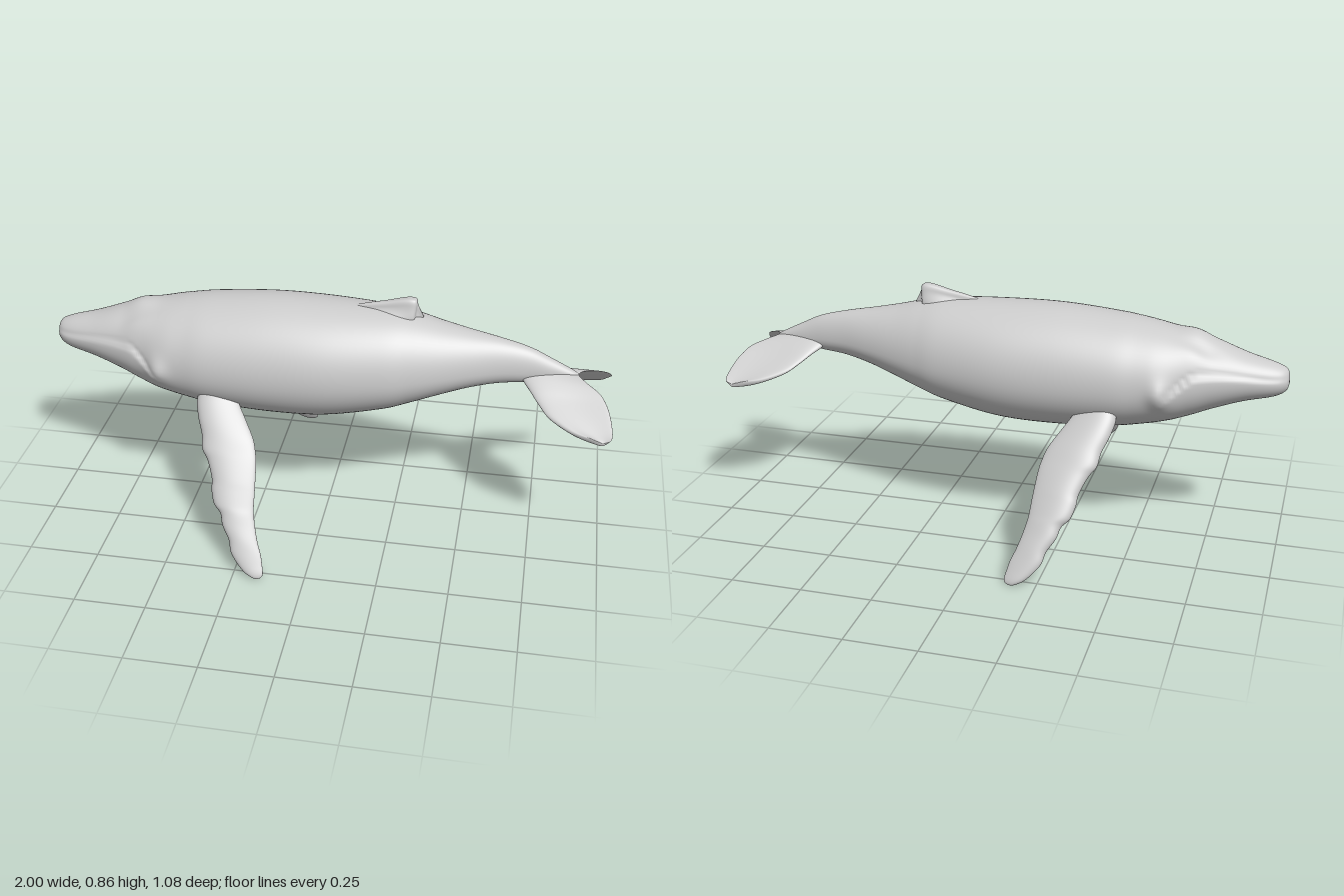
import * as THREE from 'three';

const SEG = 72;

// Catmull-Rom interpolation of rows of numbers, steps samples per span
function smooth(rows, steps) {
  const out = [], n = rows.length;
  for (let i = 0; i < n - 1; i++) {
    const a = rows[Math.max(i - 1, 0)], b = rows[i], c = rows[i + 1], d = rows[Math.min(i + 2, n - 1)];
    for (let k = 0; k < steps; k++) {
      const t = k / steps;
      out.push(b.map((_, j) => b[j] + 0.5 * t * (c[j] - a[j] + t * (2 * a[j] - 5 * b[j] + 4 * c[j] - d[j]
        + t * (3 * (b[j] - c[j]) + d[j] - a[j])))));
    }
  }
  out.push(rows[n - 1]);
  return out;
}

// Closed skin over a row of rings; pointAt(row, cos, sin) gives [x, y, z]
function loft(rows, pointAt) {
  const pos = [], idx = [];
  rows.forEach(r => {
    for (let k = 0; k < SEG; k++) {
      const a = k / SEG * Math.PI * 2;
      pos.push(...pointAt(r, Math.cos(a), Math.sin(a)));
    }
  });
  for (let i = 0; i < rows.length - 1; i++) {
    for (let k = 0; k < SEG; k++) {
      const a = i * SEG + k, b = i * SEG + (k + 1) % SEG;
      idx.push(a, b, a + SEG, b, b + SEG, a + SEG);
    }
  }
  // end caps
  [0, rows.length - 1].forEach((r, e) => {
    const c = [0, 0, 0], s = r * SEG, centre = pos.length / 3;
    for (let k = 0; k < SEG; k++) for (let j = 0; j < 3; j++) c[j] += pos[(s + k) * 3 + j] / SEG;
    pos.push(...c);
    for (let k = 0; k < SEG; k++) {
      const a = s + k, b = s + (k + 1) % SEG;
      idx.push(centre, e ? a : b, e ? b : a);
    }
  });
  // turn the faces outward if the signed volume is negative
  const p = i => new THREE.Vector3().fromArray(pos, i * 3);
  let vol = 0;
  for (let i = 0; i < idx.length; i += 3) vol += p(idx[i]).dot(p(idx[i + 1]).cross(p(idx[i + 2])));
  if (vol < 0) idx.reverse();
  const g = new THREE.BufferGeometry();
  g.setAttribute('position', new THREE.Float32BufferAttribute(pos, 3));
  g.setIndex(idx);
  g.computeVertexNormals();
  return g;
}

const step = THREE.MathUtils.smoothstep;

// Height of the mouth line along the head
function mouthY(x) {
  return 0.64 + 0.02 * step(x, -0.97, -0.75) - 0.1 * step(x, -0.71, -0.55);
}

function bodyPoint([x, top, bottom, w, mid], c, s) {
  const y = mid + (s > 0 ? s * (top - mid) : -Math.pow(-s, 0.95) * (mid - bottom));
  let z = w * c;
  // narrower upper jaw above the lip, with a crease along the mouth
  const head = 1 - step(x, -0.66, -0.54);
  const d = y - mouthY(x);
  z *= 1 - head * (0.07 * step(d, -0.008, 0.012) + 0.05 * Math.exp(-((d / 0.009) ** 2)));
  // hollows beside the blowhole ridge
  const hollow = 0.014 * Math.exp(-(((x + 0.7) / 0.07) ** 2) - ((Math.abs(z) - 0.07) / 0.03) ** 2);
  // swelling around the eye
  const eye = 0.022 * Math.exp(-(((x + 0.585) / 0.035) ** 2) - ((y - 0.59) / 0.045) ** 2);
  return [x, s > 0 ? y - hollow : y, z + Math.sign(c) * eye];
}

export function createModel() {
  const model = new THREE.Group();
  const skin = new THREE.MeshStandardMaterial({ color: 0xcccccc });
  skin.name = 'greySkin';
  const add = (name, geometry) => {
    const m = new THREE.Mesh(geometry, skin);
    m.name = name;
    model.add(m);
  };

  // Body: x, top, bottom, half width, height of the widest line
  add('body', loft(smooth([
    [-1, 0.64, 0.615, 0.012, 0.628], [-0.99, 0.667, 0.59, 0.04, 0.628], [-0.95, 0.685, 0.568, 0.066, 0.628],
    [-0.85, 0.712, 0.543, 0.098, 0.63], [-0.75, 0.75, 0.508, 0.13, 0.625],
    [-0.68, 0.78, 0.48, 0.155, 0.615], [-0.6, 0.785, 0.453, 0.183, 0.605], [-0.5, 0.802, 0.43, 0.2, 0.6],
    [-0.4, 0.815, 0.415, 0.215, 0.6], [-0.2, 0.83, 0.402, 0.224, 0.6], [0, 0.828, 0.408, 0.219, 0.605],
    [0.2, 0.818, 0.447, 0.188, 0.61], [0.3, 0.802, 0.48, 0.16, 0.615], [0.4, 0.778, 0.517, 0.128, 0.622],
    [0.5, 0.757, 0.55, 0.095, 0.63], [0.6, 0.738, 0.572, 0.065, 0.635], [0.7, 0.712, 0.582, 0.045, 0.632],
    [0.78, 0.675, 0.592, 0.032, 0.625], [0.85, 0.64, 0.607, 0.018, 0.622], [0.875, 0.626, 0.616, 0.006, 0.621],
  ], 10), bodyPoint));

  // Dorsal fin: x, top, half width at the base, half width at the crest
  add('dorsalFin', loft(smooth([
    [0.06, 0.815, 0.01, 0.004], [0.13, 0.833, 0.045, 0.012], [0.2, 0.848, 0.06, 0.018], [0.26, 0.863, 0.05, 0.024],
    [0.29, 0.866, 0.042, 0.025], [0.305, 0.86, 0.034, 0.02], [0.31, 0.84, 0.022, 0.008], [0.33, 0.8, 0.008, 0.003],
  ], 6), ([x, top, base, crest], c, s) => {
    const h = (s + 1) / 2;
    const lean = 0.012 * step(x, 0.29, 0.315) * (1 - h);
    const w = THREE.MathUtils.lerp(base, crest, step(h, 0, 0.8));
    return [x - lean, 0.77 + h * (top - 0.77), w * Math.sign(c) * Math.sqrt(Math.abs(c))];
  }));

  // Flippers: height, leading edge x, trailing edge x, half thickness
  const flipper = smooth([
    [0.56, -0.42, -0.32, 0.022], [0.5, -0.442, -0.295, 0.028], [0.45, -0.432, -0.26, 0.03],
    [0.4, -0.41, -0.225, 0.03], [0.36, -0.402, -0.21, 0.029], [0.33, -0.378, -0.204, 0.028],
    [0.28, -0.355, -0.2, 0.027], [0.25, -0.352, -0.198, 0.026], [0.21, -0.338, -0.196, 0.025],
    [0.185, -0.312, -0.192, 0.024], [0.15, -0.3, -0.183, 0.022], [0.11, -0.273, -0.17, 0.02],
    [0.075, -0.262, -0.155, 0.017], [0.045, -0.238, -0.147, 0.014], [0.02, -0.21, -0.142, 0.011],
    [0.008, -0.187, -0.148, 0.007], [0.003, -0.172, -0.16, 0.002],
  ], 5);
  for (const [name, side] of [['leftFlipper', 1], ['rightFlipper', -1]]) {
    add(name, loft(flipper, ([y, lead, trail, t], c, s) => {
      const x = (lead + trail) / 2 + c * (trail - lead) / 2;
      // full leading edge, thin trailing edge
      const n = t * s * (1 - 0.35 * c);
      const z = 0.538 - 0.72 * y + 0.02 * Math.sin(Math.PI * Math.min(y / 0.5, 1));
      return [x, Math.max(y + n * 0.58, 0), side * (z + n * 0.81)];
    }));
  }

  // Tail flukes: z, leading x, trailing x, leading y, trailing y, half thickness
  const half = [
    [0, 0.67, 0.875, 0.628, 0.622, 0.018], [0.04, 0.685, 0.9, 0.607, 0.617, 0.018],
    [0.08, 0.715, 0.95, 0.585, 0.598, 0.016], [0.12, 0.748, 0.977, 0.558, 0.573, 0.014],
    [0.16, 0.787, 0.992, 0.533, 0.545, 0.013], [0.2, 0.86, 1, 0.51, 0.516, 0.011],
    [0.22, 0.925, 0.996, 0.502, 0.504, 0.008], [0.226, 0.955, 0.985, 0.499, 0.5, 0.003],
  ];
  const other = half.slice(1).reverse().map(([z, ...rest]) => [-z, ...rest]);
  add('tailFlukes', loft(smooth([...other, ...half], 5), ([z, xl, xt, yl, yt, t], c, s) => {
    const k = (c + 1) / 2;
    const n = t * s * (1 - 0.5 * c);
    const sag = 0.012 * Math.sin(Math.PI * k) * Math.min(Math.abs(z) / 0.1, 1);
    return [xl + k * (xt - xl), yl + k * (yt - yl) + n - sag, z];
  }));

  return model;
}
